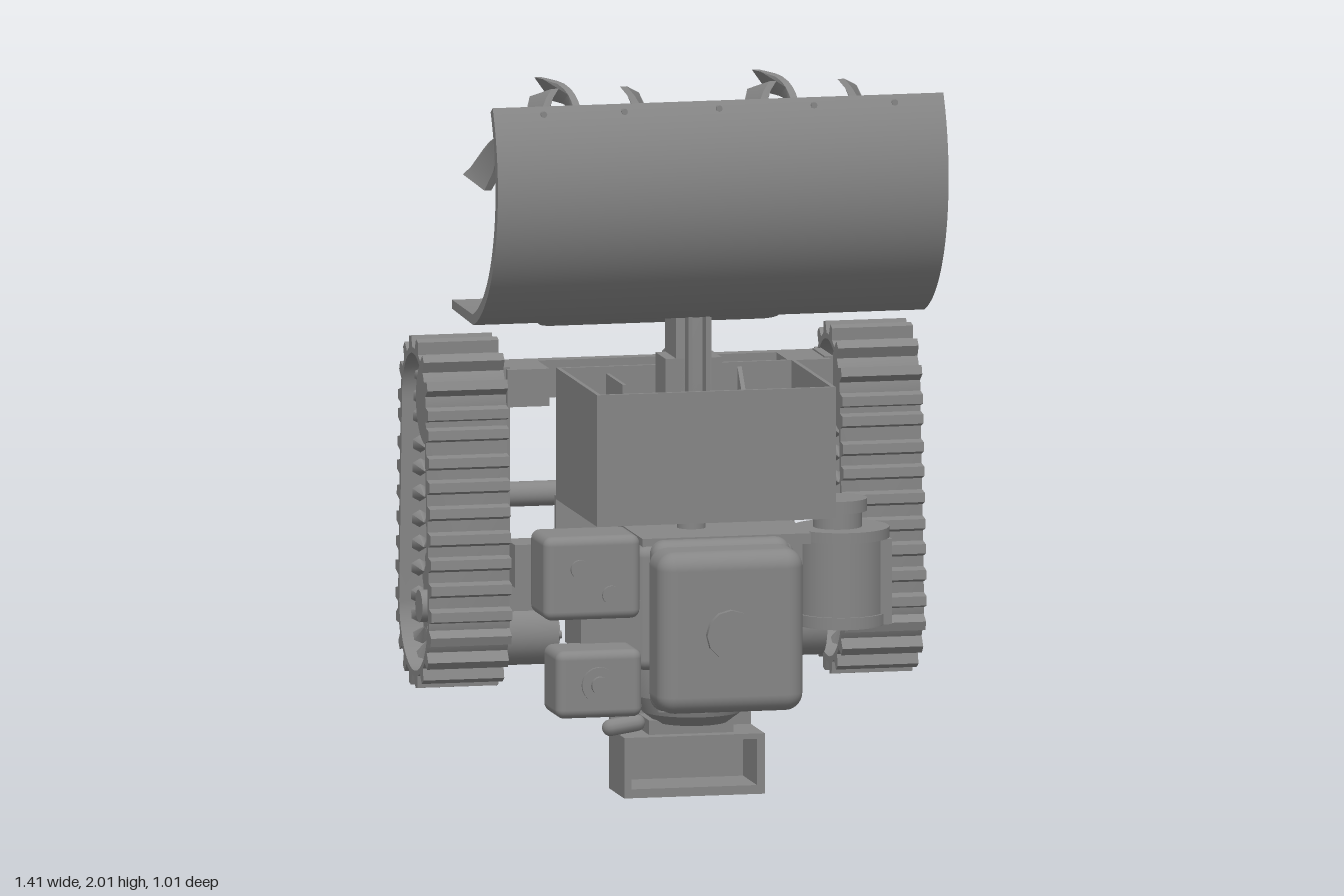
import * as THREE from 'three';
import { RoundedBoxGeometry } from 'three/addons/geometries/RoundedBoxGeometry.js';
import { toCreasedNormals } from 'three/addons/utils/BufferGeometryUtils.js';

const mat = new THREE.MeshStandardMaterial({ color: 0x868686, side: THREE.DoubleSide });
const V2 = (x, y) => new THREE.Vector2(x, y);

export function createModel() {
  const root = new THREE.Group();
  const add = (name, geo, x = 0, y = 0, z = 0, parent = root) => {
    const m = new THREE.Mesh(geo, mat);
    m.name = name;
    m.position.set(x, y, z);
    parent.add(m);
    return m;
  };
  // box given by its limits on each axis
  const box = (name, x0, x1, y0, y1, z0, z1, parent) =>
    add(name, new THREE.BoxGeometry(x1 - x0, y1 - y0, z1 - z0), (x0 + x1) / 2, (y0 + y1) / 2, (z0 + z1) / 2, parent);
  const rbox = (name, x0, x1, y0, y1, z0, z1, r) =>
    add(name, new RoundedBoxGeometry(x1 - x0, y1 - y0, z1 - z0, 4, r), (x0 + x1) / 2, (y0 + y1) / 2, (z0 + z1) / 2);
  // cylinder along a chosen axis
  const cyl = (name, axis, r, len, x, y, z, parent, seg = 32) => {
    const g = new THREE.CylinderGeometry(r, r, len, seg);
    if (axis === 'x') g.rotateZ(Math.PI / 2);
    if (axis === 'z') g.rotateX(Math.PI / 2);
    return add(name, g, x, y, z, parent);
  };
  // profile drawn in (z, y), extruded symmetrically along x
  const side = (pts, width, holes = []) => {
    const s = new THREE.Shape(pts);
    s.holes = holes.map(h => new THREE.Path(h));
    const g = new THREE.ExtrudeGeometry(s, { depth: width, bevelEnabled: false });
    g.translate(0, 0, -width / 2).rotateY(-Math.PI / 2);
    return toCreasedNormals(g, 0.6);
  };
  // n points evenly spaced on a circle
  const ring = (cx, cy, r, n) =>
    Array.from({ length: n }, (_, i) => V2(cx + r * Math.cos(i / n * 2 * Math.PI), cy + r * Math.sin(i / n * 2 * Math.PI)));

  // ---- Tracks: belt around a small upper and a large lower wheel ----
  const up = { z: -0.285, y: 1.065, r: 0.15 }, low = { z: -0.28, y: 0.495, r: 0.19 };
  const loop = d => [[up, -0.07, Math.PI + 0.14], [low, Math.PI + 0.07, Math.PI - 0.14]].flatMap(([w, a0, sweep]) =>
    Array.from({ length: 25 }, (_, i) => {
      const a = a0 + i / 24 * sweep;
      return V2(w.z + (w.r + d) * Math.cos(a), w.y + (w.r + d) * Math.sin(a));
    }));
  const path = new THREE.CatmullRomCurve3(loop(0).map(p => new THREE.Vector3(0, p.y, p.x)), true, 'centripetal');
  const gear = (r0, r1, n) => Array.from({ length: n * 4 }, (_, i) => {
    const a = i / (n * 4) * 2 * Math.PI, r = i % 4 < 2 ? r1 : r0;
    return V2(r * Math.cos(a), r * Math.sin(a));
  });
  const lugShape = side([V2(-0.022, 0), V2(-0.013, -0.038), V2(0.013, -0.038), V2(0.022, 0)], 0.23);
  for (const s of [-1, 1]) {
    const t = new THREE.Group();
    t.name = s > 0 ? 'leftTrack' : 'rightTrack';
    t.position.x = s * 0.59;
    root.add(t);
    add('trackBelt', side(loop(0.006), 0.23, [loop(-0.01)]), 0, 0, 0, t);
    const N = 32;
    for (let i = 0; i < N; i++) {
      const p = path.getPointAt(i / N), d = path.getTangentAt(i / N);
      const link = new THREE.Group();
      link.position.copy(p);
      link.rotation.x = Math.atan2(-d.y, d.z);
      t.add(link);
      // lug outside the belt, guide teeth inside
      add('trackLug', lugShape, 0, 0, 0, link);
      for (const x of [-0.06, 0.06]) add('guideTooth', new THREE.ConeGeometry(0.028, 0.06, 6), x, 0.035, 0, link);
    }
    add('driveSprocket', side(gear(0.165, 0.183, 16), 0.1, ring(0, 0, 0.13, 10).map(c => ring(c.x, c.y, 0.012, 8))), 0, low.y, low.z, t);
    cyl('sprocketHub', 'x', 0.045, 0.2, 0, low.y, low.z, t);
    add('idlerWheel', side(gear(0.125, 0.145, 12), 0.08), 0, up.y, up.z, t);
    cyl('idlerRim', 'x', 0.12, 0.16, 0, up.y, up.z, t);
    box('trackFrame', -0.03, 0.03, 0.6, 1.0, -0.37, -0.24, t);
    // supports between track and chassis
    box('trackPost', s * 0.46 - 0.012, s * 0.46 + 0.012, 0.4, 1.17, -0.35, -0.2);
    cyl('sprocketAxle', 'x', 0.035, 0.14, s * 0.48, low.y, low.z);
    box('beamBracket', s * 0.4 - 0.06, s * 0.4 + 0.06, 1.06, 1.165, -0.37, -0.18);
    box('bracketArm', s * 0.205 - 0.025, s * 0.205 + 0.025, 0.75, 0.86, -0.47, -0.12);
    cyl('pumpCylinder', 'y', 0.065, 0.3, s * 0.1, 0.77, -0.28);
    // wheel motor with its bolted face turned inward
    cyl('wheelMotor', 'x', 0.09, 0.145, s * 0.3825, 0.41, -0.285);
    cyl('wheelMotorCap', 'x', 0.04, 0.02, s * 0.305, 0.41, -0.285);
    for (const b of ring(-0.285, 0.41, 0.066, 6)) cyl('wheelMotorBolt', 'x', 0.011, 0.02, s * 0.308, b.y, b.x, root, 8);
    box('wheelMotorBracket', s * 0.39 - 0.06, s * 0.39 + 0.06, 0.48, 0.57, -0.33, -0.22);
  }

  // ---- Chassis ----
  box('upperBeam', -0.45, 0.45, 1.06, 1.165, -0.37, -0.33);
  box('chassisPlate', -0.34, 0.34, 0.55, 0.82, -0.12, -0.1);
  box('lowerBeam', -0.45, 0.45, 0.56, 0.68, -0.25, -0.13);
  cyl('crossTube', 'x', 0.035, 0.9, 0, 0.8, -0.28);
  box('bracketCrossbar', -0.18, 0.18, 0.75, 0.86, -0.38, -0.3);
  cyl('idlerAxle', 'x', 0.038, 0.14, 0.4, 0.995, -0.27);

  // ---- Open hopper ----
  const hopper = new THREE.Group();
  hopper.name = 'hopper';
  root.add(hopper);
  box('floor', -0.34, 0.34, 0.81, 0.825, -0.1, 0.415, hopper);
  box('frontWall', -0.34, 0.34, 0.81, 1.18, 0.403, 0.415, hopper);
  box('backWall', -0.34, 0.34, 0.81, 1.18, -0.1, -0.088, hopper);
  for (const s of [-1, 1]) box('sideWall', s * 0.334 - 0.006, s * 0.334 + 0.006, 0.81, 1.18, -0.1, 0.415, hopper);
  box('partition', -0.2, -0.19, 0.82, 1.16, -0.1, 0.12, hopper);
  add('gusset', side([V2(-0.09, 0.82), V2(0.2, 0.82), V2(-0.09, 1.17)], 0.012), 0.18, 0, 0, hopper);

  // ---- Mast carrying the rotor ----
  add('mast', side([V2(0.0, 0.83), V2(0.13, 0.83), V2(0.13, 1.36), V2(0.095, 1.66), V2(-0.01, 1.66), V2(-0.01, 1.36)], 0.1));
  box('mastFoot', -0.08, 0.08, 1.1, 1.23, 0.0, 0.13);
  for (let i = 0; i < 6; i++) box('mastRib', -0.055, 0.055, 1.42 + i * 0.035, 1.435 + i * 0.035, -0.016, 0.13 - i * 0.005);
  cyl('mastFlange', 'y', 0.11, 0.03, 0, 1.385, 0.06);
  for (const b of ring(0, 0.06, 0.09, 8)) cyl('flangeBolt', 'y', 0.011, 0.05, b.x, 1.385, b.y, root, 8);
  for (const s of [-1, 1]) box('mastStrut', s * 0.025 - 0.006, s * 0.025 + 0.006, 0.85, 1.42, 0.155, 0.2);
  box('mastCrossPlate', -0.12, 0.12, 1.36, 1.375, -0.07, 0.2);
  const hose = new THREE.CatmullRomCurve3([[0, 1.35, -0.01], [0, 1.29, -0.05], [0, 1.23, -0.11], [0, 1.19, -0.2]].map(p => new THREE.Vector3(...p)));
  add('hose', new THREE.TubeGeometry(hose, 20, 0.018, 10));

  // ---- Curved shield with flat lip and rear flap ----
  const arc = (r, a0, a1, n = 32) => Array.from({ length: n + 1 }, (_, i) => {
    const a = THREE.MathUtils.degToRad(a0 + (a1 - a0) * i / n);
    return V2(0.065 + r * Math.cos(a), 1.77 + r * Math.sin(a));
  });
  add('shield', side([...arc(0.435, 32, -73), V2(-0.075, 1.36), V2(-0.075, 1.385), ...arc(0.405, -73, 32)], 1.284));
  for (const s of [-1, 1]) add('shieldRib', side([...arc(0.407, -30, -73), ...arc(0.4, -73, -30)], 0.012), s * 0.025);
  for (const x of [-0.5, -0.27, 0, 0.27, 0.5]) cyl('shieldBolt', 'z', 0.009, 0.04, x, 1.98, 0.434, root, 8);
  const flap = new THREE.Shape([V2(-0.345, 0), V2(0.345, 0), V2(0.345, 0.25)]);
  flap.quadraticCurveTo(0.345, 0.3, 0.295, 0.3);
  flap.lineTo(-0.295, 0.3);
  flap.quadraticCurveTo(-0.345, 0.3, -0.345, 0.25);
  add('rearFlap', new THREE.ExtrudeGeometry(flap, { depth: 0.004, bevelEnabled: false }), 0, 1.39, -0.07).rotation.x = -Math.PI / 2 - 0.45;

  // ---- Tiller rotor ----
  const rotor = new THREE.Group();
  rotor.name = 'rotor';
  rotor.position.set(0, 1.72, 0.037);
  root.add(rotor);
  cyl('axle', 'x', 0.033, 1.04, 0, 0, 0, rotor, 6);
  cyl('gearCase', 'x', 0.1, 0.09, 0, 0, 0, rotor);
  cyl('gearCaseHub', 'x', 0.05, 0.15, 0, 0, 0, rotor);
  // blade profile swept along a bent centre line, tip pushed sideways
  const mid = new THREE.CatmullRomCurve3([[0.1, 0], [0.175, 0.005], [0.228, 0.065], [0.238, 0.18]].map(p => new THREE.Vector3(-p[1], p[0], 0)));
  const edge = sgn => Array.from({ length: 13 }, (_, i) => {
    const p = mid.getPoint(i / 12), d = mid.getTangent(i / 12), w = sgn * (0.022 + i * 0.001);
    return V2(p.x - d.y * w, p.y + d.x * w);
  });
  const blade = lean => {
    const g = side([...edge(1), ...edge(-1).reverse()], 0.02), p = g.attributes.position;
    for (let i = 0; i < p.count; i++) {
      const t = Math.max(0, (Math.hypot(p.getY(i), p.getZ(i)) - 0.16) / 0.145);
      p.setX(i, p.getX(i) + lean * 0.05 * t ** 3);
    }
    return toCreasedNormals(g, 0.6);
  };
  for (const x of [-0.48, -0.31, -0.14, 0.14, 0.31, 0.48]) {
    const inner = Math.abs(x) === 0.31;
    cyl('bladeHub', 'x', 0.1, 0.018, x, 0, 0, rotor, 6);
    for (let k = inner ? 0 : 1; k < 6; k += 2) {
      const arm = new THREE.Group();
      arm.position.x = x;
      arm.rotation.x = -k * Math.PI / 3;
      rotor.add(arm);
      const outward = Math.sign(x) * (Math.abs(x) === 0.14 ? -1 : 1) * (k === 1 ? 1 : -1);
      add('blade', blade(inner ? (k === 4 ? 1 : -1) : outward), 0, 0, 0, arm);
      box('bladeHolder', -0.018, 0.018, 0.05, 0.13, -0.024, 0.024, arm);
      cyl('bladeBolt', 'x', 0.01, 0.05, 0, 0.09, 0, arm, 8);
    }
  }

  // ---- Engine ----
  rbox('engineBlock', -0.2, 0.25, 0.38, 0.73, -0.09, 0.3, 0.03);
  rbox('recoilCover', -0.175, 0.24, 0.28, 0.735, 0.3, 0.48, 0.05);
  rbox('coverRim', -0.165, 0.23, 0.27, 0.75, 0.27, 0.36, 0.04);
  cyl('starterCap', 'z', 0.07, 0.03, 0.025, 0.505, 0.485, root, 12);
  add('crankcase', toCreasedNormals(new THREE.LatheGeometry([[0, 0.2], [0.1, 0.2], [0.14, 0.23], [0.155, 0.28], [0.17, 0.28], [0.17, 0.42], [0.15, 0.46], [0, 0.46]].map(p => V2(...p)), 36), 0.5), 0.01, 0, 0.06);
  for (const b of ring(0.01, 0.06, 0.155, 8)) cyl('crankcaseBolt', 'y', 0.014, 0.05, b.x, 0.27, b.y, root, 8);
  add('drainHandle', new THREE.CapsuleGeometry(0.024, 0.075, 4, 12).rotateZ(Math.PI / 2 + 0.15), -0.2, 0.205, 0.13);
  cyl('outputShaft', 'y', 0.04, 0.09, 0, 0.77, 0.1);
  box('mountPlate', -0.18, 0.3, 0.72, 0.75, -0.1, 0.28);
  rbox('airFilter', -0.5, -0.225, 0.555, 0.79, 0.27, 0.46, 0.025);
  for (const [x, y] of [[-0.4, 0.7], [-0.31, 0.625]]) cyl('filterKnob', 'z', 0.026, 0.02, x, y, 0.46);
  rbox('muffler', -0.46, -0.215, 0.275, 0.465, 0.26, 0.44, 0.025);
  cyl('mufflerRing', 'z', 0.05, 0.02, -0.34, 0.37, 0.44);
  cyl('mufflerOutlet', 'z', 0.025, 0.04, -0.34, 0.37, 0.445);
  box('carburettor', -0.36, -0.19, 0.44, 0.58, 0.1, 0.3);
  cyl('intakePipe', 'x', 0.04, 0.2, -0.27, 0.62, 0.24);

  // ---- Side motor ----
  cyl('motorBody', 'y', 0.12, 0.27, 0.41, 0.61, 0.17);
  cyl('motorBand', 'y', 0.135, 0.03, 0.41, 0.735, 0.17);
  cyl('motorBand', 'y', 0.127, 0.03, 0.41, 0.495, 0.17);
  cyl('motorNeck', 'y', 0.068, 0.08, 0.4, 0.77, 0.17);
  cyl('motorPulley', 'y', 0.083, 0.035, 0.4, 0.813, 0.17);
  box('motorTab', 0.5, 0.54, 0.48, 0.72, 0.1, 0.24);
  box('motorMount', 0.24, 0.32, 0.5, 0.72, -0.08, 0.2);

  // ---- Lower open duct, roller and rear plate ----
  const duct = new THREE.Shape([V2(-0.2, 0), V2(0.2, 0), V2(0.2, 0.17), V2(-0.2, 0.17)]);
  duct.holes.push(new THREE.Path([V2(-0.18, 0.025), V2(-0.18, 0.155), V2(0.178, 0.155), V2(0.178, 0.025)]));
  add('duct', new THREE.ExtrudeGeometry(duct, { depth: 0.19, bevelEnabled: false }), 0, 0, -0.05);
  box('ductBack', -0.2, 0.2, 0, 0.24, -0.05, -0.035);
  box('ductNeck', -0.12, 0.12, 0.165, 0.21, -0.04, 0.1);
  cyl('roller', 'x', 0.08, 0.28, 0.02, 0.165, -0.13);
  box('rollerTray', -0.1, 0.1, 0.06, 0.075, -0.235, -0.05);
  const plate = new THREE.Shape();
  plate.absarc(0, 0.18, 0.12, Math.PI * 0.83, Math.PI * 2.17, false);
  plate.lineTo(0.06, 0.46);
  plate.lineTo(-0.06, 0.46);
  plate.holes.push(new THREE.Path(ring(0, 0.13, 0.012, 12)));
  add('rearPlate', new THREE.ExtrudeGeometry(plate, { depth: 0.012, bevelEnabled: false }), 0, 0, -0.24);
  box('plateHanger', -0.06, 0.06, 0.44, 0.58, -0.24, -0.15);

  return root;
}
